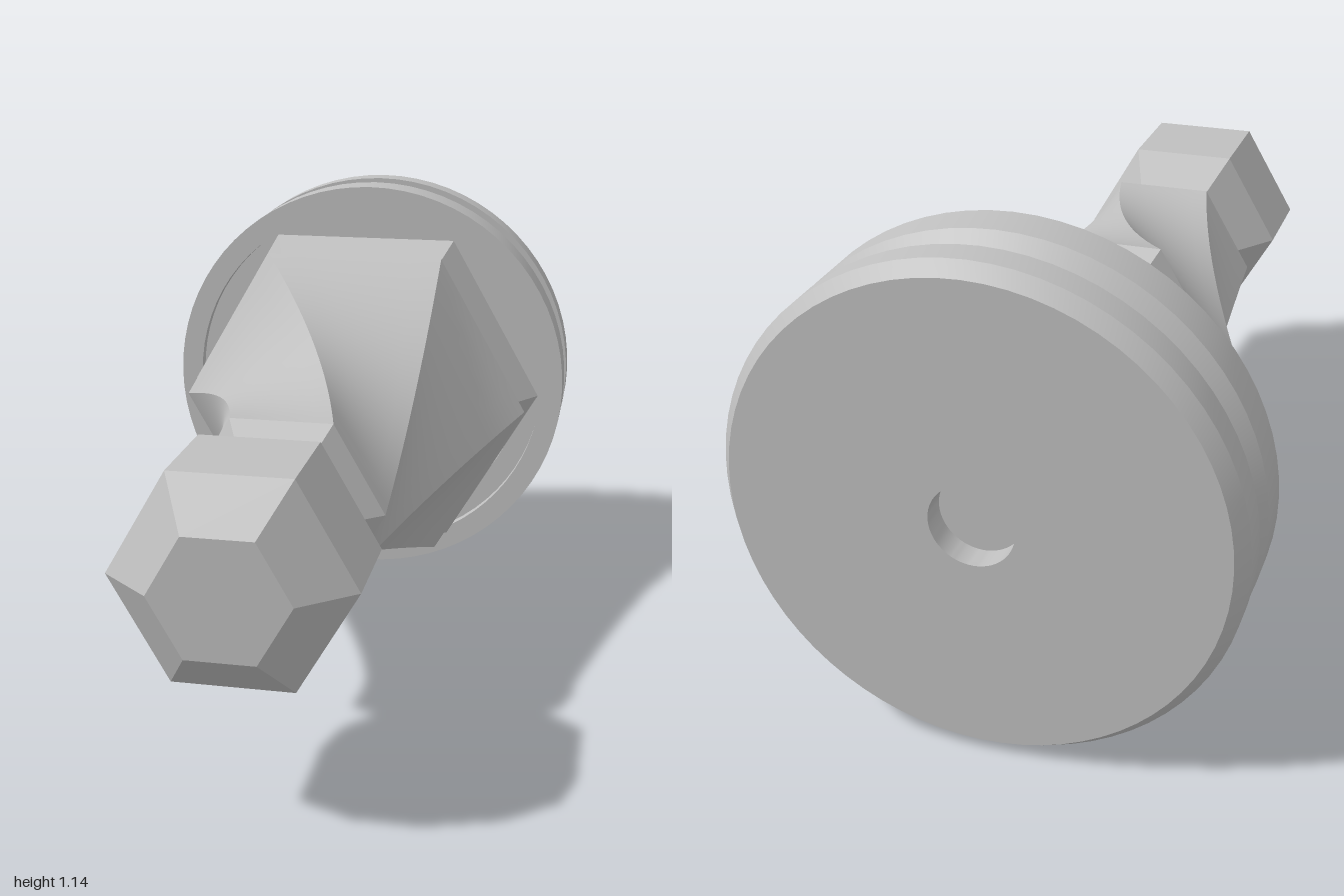
import * as THREE from 'three';
import { mergeGeometries, toCreasedNormals } from 'three/addons/utils/BufferGeometryUtils.js';

const AXIS_Y = 0.572; // height of the long axis, which runs along z

// Corner k of a hexagonal section
function corner(s, k) {
  const a = s.turn + (k * Math.PI) / 3;
  return new THREE.Vector3(s.r * Math.cos(a), s.r * Math.sin(a), s.z);
}

// Six-sided skin through sections given front to back; sides are kept separate so edges stay crisp
function hexSkin(sections, cols = 1) {
  const pos = [], idx = [];
  for (let k = 0; k < 6; k++) {
    const base = pos.length / 3;
    sections.forEach((s) => {
      const p = corner(s, k), q = corner(s, k + 1);
      for (let c = 0; c <= cols; c++) pos.push(...p.clone().lerp(q, c / cols).toArray());
    });
    for (let i = 0; i < sections.length - 1; i++) {
      for (let c = 0; c < cols; c++) {
        const a = base + i * (cols + 1) + c, b = a + 1, d = a + cols + 1, e = d + 1;
        idx.push(a, d, b, b, d, e);
      }
    }
  }
  const g = new THREE.BufferGeometry();
  g.setAttribute('position', new THREE.Float32BufferAttribute(pos, 3));
  g.setIndex(idx);
  g.computeVertexNormals();
  return g;
}

// Flat-sided hexagonal piece from [z, radius] pairs
function hexBands(profile) {
  const s = profile.map(([z, r]) => ({ z, r, turn: 0 }));
  return mergeGeometries(s.slice(1).map((b, i) => hexSkin([s[i], b])));
}

export function createModel() {
  const grey = new THREE.MeshStandardMaterial({ color: 0xbfbfbf });
  grey.name = 'grey';
  const model = new THREE.Group();
  model.name = 'twistedHexLeg';
  const add = (name, geometry) => {
    const m = new THREE.Mesh(geometry, grey);
    m.name = name;
    m.position.y = AXIS_Y;
    model.add(m);
  };

  // Hexagonal knob at the front with its narrow neck
  add('knob', hexBands([[1, 0.153], [0.9, 0.269], [0.65, 0.269], [0.51, 0.162], [0.44, 0.242]]));
  const tip = new THREE.CircleGeometry(0.153, 6);
  tip.translate(0, 0, 1);
  add('knobTip', tip);

  // Flared shaft: each ridge moves from one corner to the next, a sixth of a turn on
  const r0 = 0.242, r1 = 0.483, rows = 24, sections = [];
  for (let i = 0; i <= rows; i++) {
    const t = i / rows, s = 0.6 * t + 0.4 * t * t;
    const x = r0 + (r1 / 2 - r0) * s, y = r1 * Math.sin(Math.PI / 3) * s;
    sections.push({ z: 0.44 - 0.9 * t, r: Math.hypot(x, y), turn: Math.atan2(y, x) });
  }
  add('twistedShaft', hexSkin(sections, 6));

  // Hexagonal collar between shaft and base
  add('collar', hexBands([[-0.46, 0.483], [-0.53, 0.437], [-0.635, 0.507], [-0.71, 0.46], [-0.77, 0.422]]));

  // Round base with a groove, a stepped front recess and a blind hole at the back
  const outline = [
    [0, -0.94], [0.095, -0.94], [0.095, -1], [0.545, -1], [0.572, -0.965], [0.572, -0.895],
    [0.5, -0.895], [0.5, -0.88], [0.572, -0.81], [0.572, -0.71], [0.51, -0.71], [0.51, -0.74],
    [0.45, -0.74], [0.45, -0.77], [0, -0.77],
  ].map(([r, z]) => new THREE.Vector2(r, z));
  const base = new THREE.LatheGeometry(outline, 72);
  base.rotateX(Math.PI / 2);
  add('base', toCreasedNormals(base, 0.5));

  return model;
}
